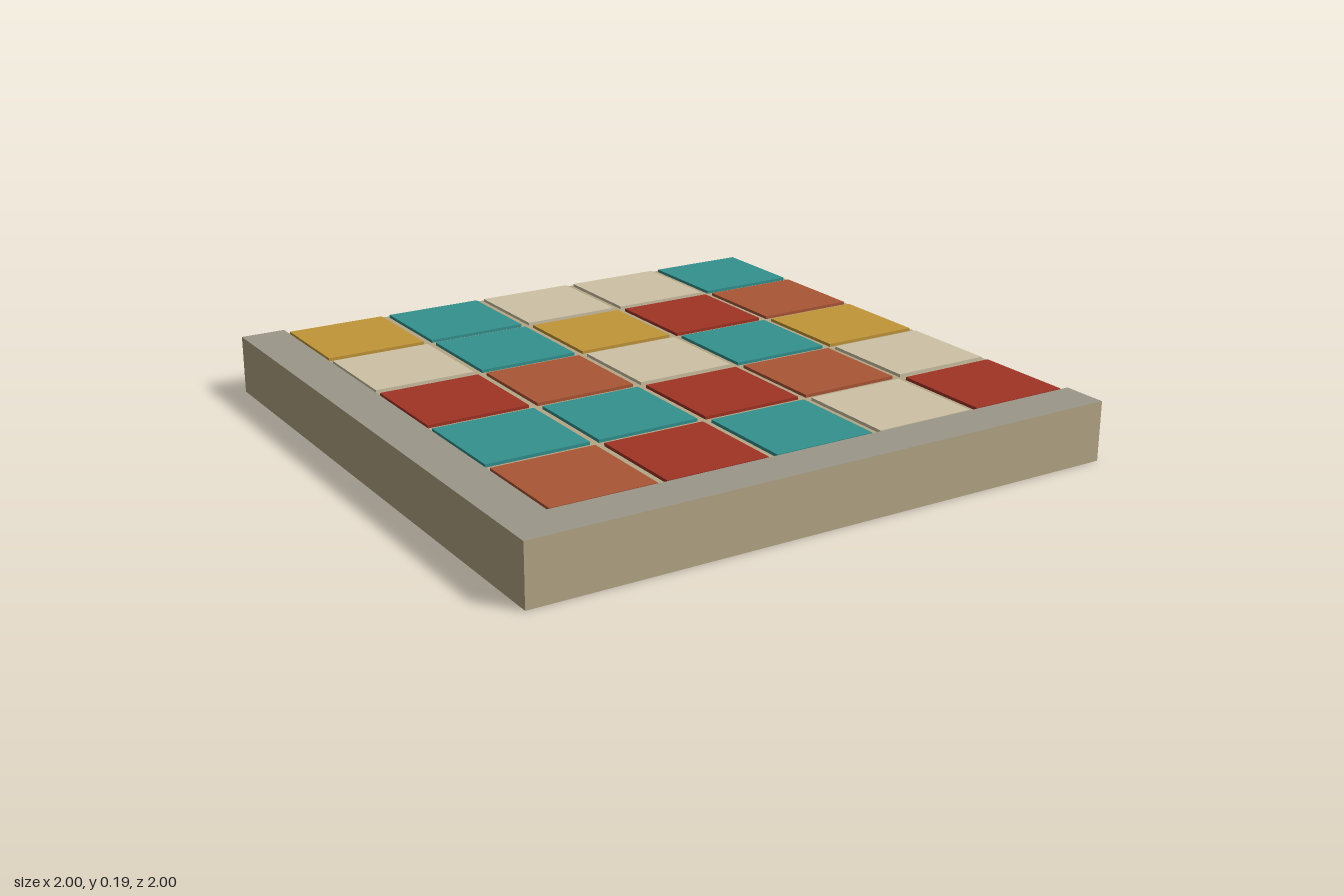
import * as THREE from 'three';

const paint = (color) => new THREE.MeshStandardMaterial({ color });

export function createModel() {
  const model = new THREE.Group();
  const tan = paint(0xb5a686);
  const grey = paint(0x9c978a);
  const bedTop = 0.18, tileTop = 0.19, curbTop = 0.195;

  function box(name, material, size, position, parent = model) {
    const mesh = new THREE.Mesh(new THREE.BoxGeometry(...size), material);
    mesh.name = name;
    mesh.position.set(...position);
    parent.add(mesh);
  }

  // Mortar slab
  box('slab', tan, [2, bedTop, 2], [0, bedTop / 2, 0]);

  // L-shaped curb along the right and front edges: grey top, tan sides
  const outline = new THREE.Shape([
    [-1, -1], [1, -1], [1, -0.85], [-0.85, -0.85], [-0.85, 1], [-1, 1],
  ].map(([x, y]) => new THREE.Vector2(x, y)));
  const curbGeometry = new THREE.ExtrudeGeometry(outline, { depth: curbTop - bedTop, bevelEnabled: false });
  curbGeometry.rotateX(-Math.PI / 2);
  const curb = new THREE.Mesh(curbGeometry, [grey, tan]);
  curb.name = 'curb';
  curb.position.y = bedTop;
  model.add(curb);

  // Five by five coloured tiles, rows from back to front
  const colors = {
    G: paint(0xc29638), T: paint(0x33918e), C: paint(0xcec2a5),
    R: paint(0xa03425), O: paint(0xaa5636),
  };
  const tiles = new THREE.Group();
  tiles.name = 'tiles';
  model.add(tiles);
  const pitch = 0.37, width = 0.34;
  ['GTCCT', 'CTGRO', 'ROCTG', 'TTROC', 'ORTCR'].forEach((row, j) => {
    [...row].forEach((key, i) => {
      box('tile', colors[key], [width, tileTop - bedTop, width],
        [-0.85 + pitch * (i + 0.5), (bedTop + tileTop) / 2, -1 + pitch * (j + 0.5)], tiles);
    });
  });

  return model;
}
